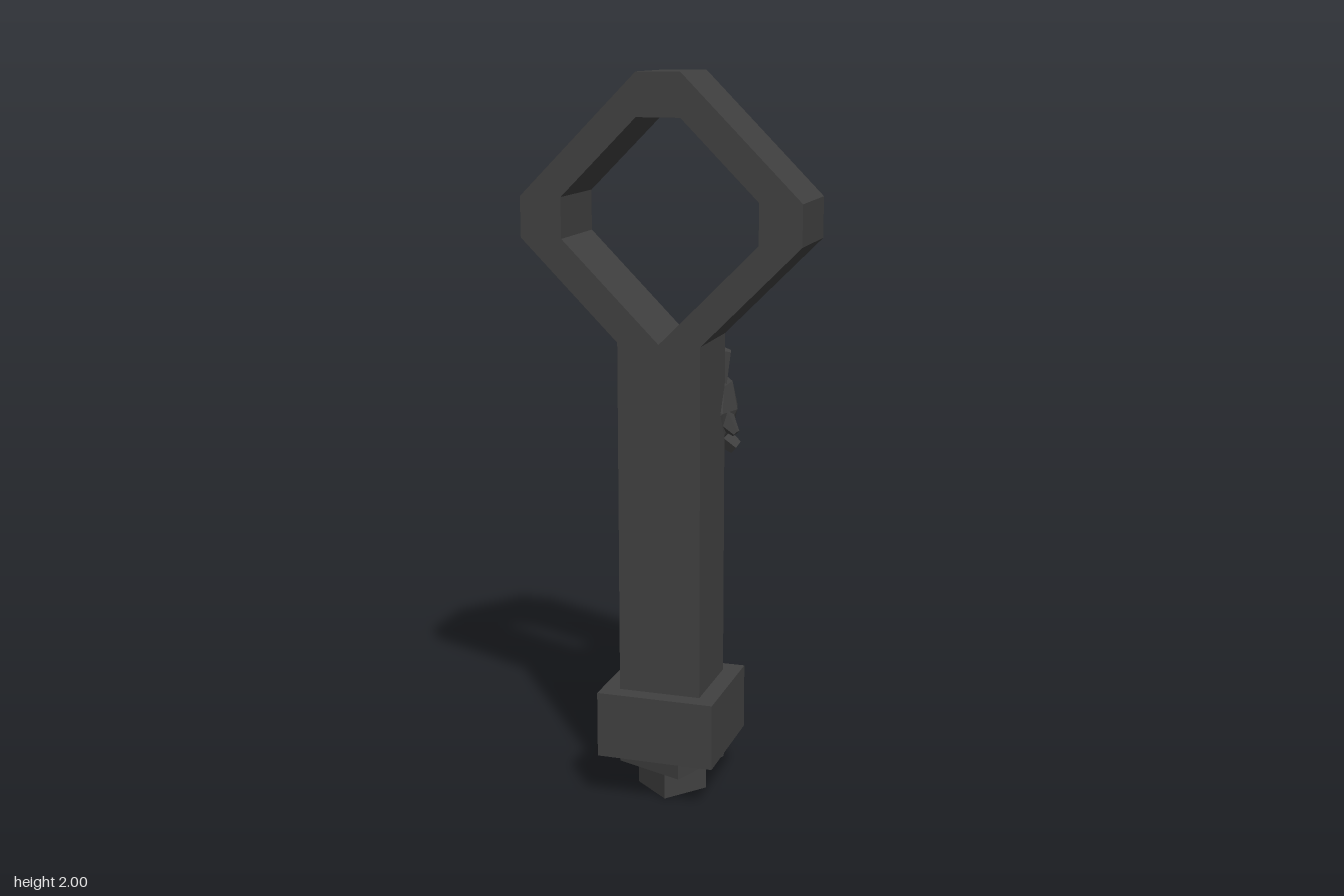
import * as THREE from 'three';

export function createModel() {
  const group = new THREE.Group();
  group.name = 'ringHandledRod';
  const iron = new THREE.MeshStandardMaterial({ color: 0x404040, flatShading: true });
  iron.name = 'dark iron';
  const AXIS_Z = 0.065; // the shaft sits in front of the ornament

  const add = (name, geometry, parent = group) => {
    const mesh = new THREE.Mesh(geometry, iron);
    mesh.name = name;
    parent.add(mesh);
    return mesh;
  };

  // Shaft and angular ring share one outline
  const half = [[0.115, 0.32], [0.115, 1.295], [0.385, 1.565], [0.385, 1.675], [0.06, 2]];
  const mirrored = half.map(([x, y]) => [-x, y]).reverse();
  const toPoints = (list) => list.map(([x, y]) => new THREE.Vector2(x, y));
  const outline = new THREE.Shape(toPoints([...half, ...mirrored]));
  outline.holes.push(new THREE.Path(toPoints([
    [0, 1.295], [-0.27, 1.565], [-0.27, 1.675], [-0.06, 1.885],
    [0.06, 1.885], [0.27, 1.675], [0.27, 1.565],
  ])));
  const shaft = new THREE.ExtrudeGeometry(outline, { depth: 0.234, bevelEnabled: false });
  shaft.translate(0, 0, -0.052);
  add('shaftAndRing', shaft);

  // Square foot pieces, each turned a little further
  const blocks = [
    ['collar', 0.33, 0.135, 0.32, 0],
    ['twistedStep', 0.209, 0.08, 0.135, -21],
    ['twistedTip', 0.139, 0, 0.08, -40],
  ];
  for (const [name, size, bottom, top, degrees] of blocks) {
    const block = add(name, new THREE.BoxGeometry(size, top - bottom, size));
    block.position.set(0, (bottom + top) / 2, AXIS_Z);
    block.rotation.y = THREE.MathUtils.degToRad(degrees);
  }

  // Round creature ornament on the back
  const creature = new THREE.Group();
  creature.name = 'creatureOrnament';
  creature.position.set(0, 1.075, -0.091);
  group.add(creature);
  add('body', new THREE.IcosahedronGeometry(0.141, 1), creature);

  // Tapered limb running from one point to another
  const limb = (name, from, to, baseRadius, tipRadius) => {
    const a = new THREE.Vector3(...from);
    const direction = new THREE.Vector3(...to).sub(a);
    const geometry = new THREE.CylinderGeometry(tipRadius, baseRadius, direction.length(), 5);
    const mesh = add(name, geometry, creature);
    mesh.position.copy(a).addScaledVector(direction, 0.5);
    mesh.quaternion.setFromUnitVectors(new THREE.Vector3(0, 1, 0), direction.normalize());
  };
  for (const [side, s] of [['left', 1], ['right', -1]]) {
    limb(side + 'Ear', [s * 0.075, 0.08, 0], [s * 0.108, 0.168, 0.006], 0.042, 0.018);
    limb(side + 'Arm', [s * 0.10, -0.01, 0.03], [s * 0.148, -0.06, 0.038], 0.04, 0.012);
    limb(side + 'Foot', [s * 0.08, -0.075, -0.02], [s * 0.13, -0.115, -0.028], 0.034, 0.022);
  }

  return group;
}
